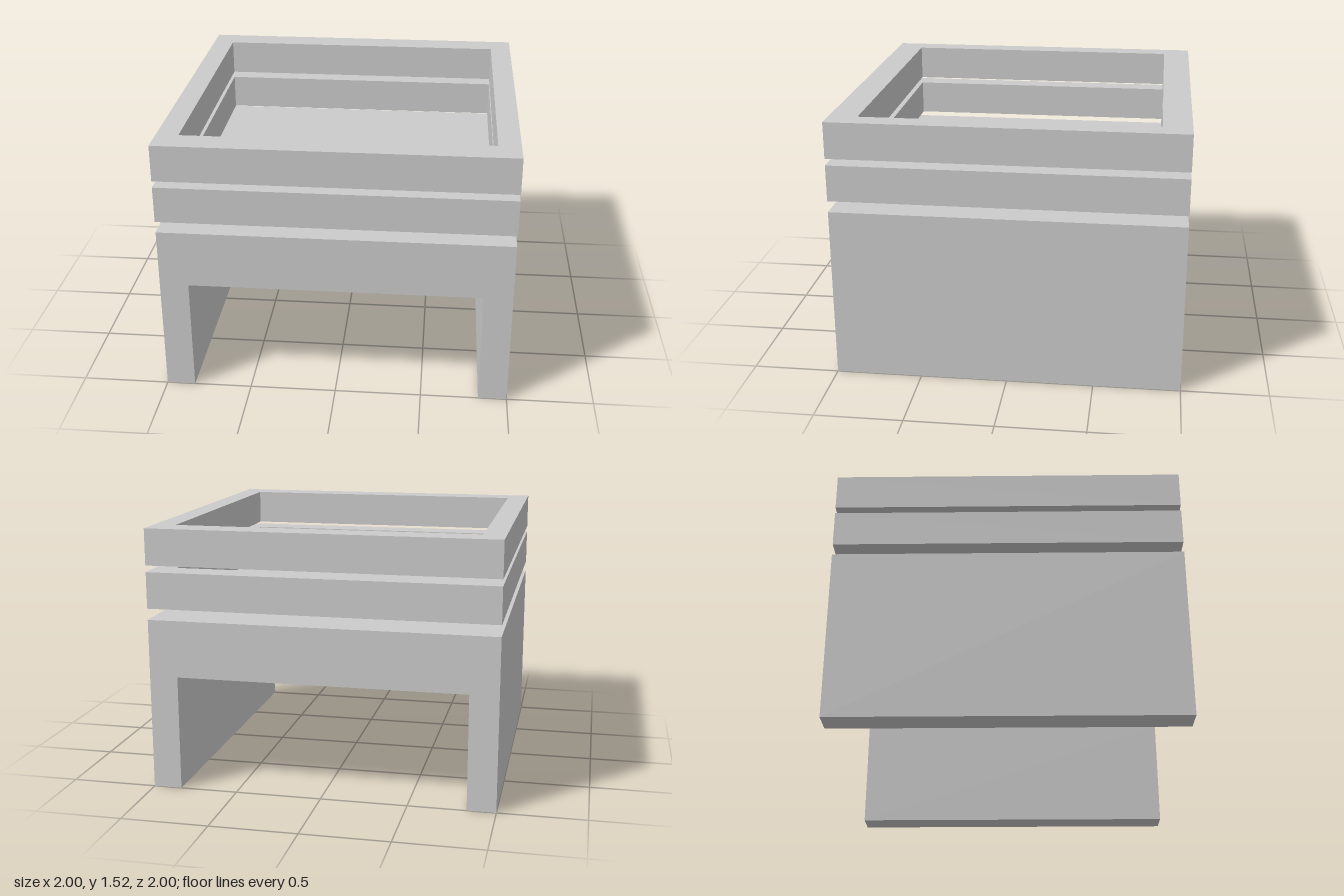
import * as THREE from 'three';

const material = new THREE.MeshStandardMaterial({ color: 0xcccccc, flatShading: true });

// Clockwise-independent rectangle outline, centred on x = 0
function rectangle(target, halfWidth, halfDepth) {
  target.moveTo(-halfWidth, -halfDepth);
  target.lineTo(halfWidth, -halfDepth);
  target.lineTo(halfWidth, halfDepth);
  target.lineTo(-halfWidth, halfDepth);
  target.closePath();
  return target;
}

function addMesh(group, geometry, name) {
  const mesh = new THREE.Mesh(geometry, material);
  mesh.name = name;
  group.add(mesh);
}

export function createModel() {
  const group = new THREE.Group();
  group.name = 'tieredStand';

  // Base: an upside-down U, open at front and back
  const arch = new THREE.Shape();
  [[-1, 0], [-0.835, 0], [-0.835, 0.67], [0.835, 0.67], [0.835, 0], [1, 0], [1, 1], [-1, 1]]
    .forEach(([x, y], i) => (i ? arch.lineTo(x, y) : arch.moveTo(x, y)));
  arch.closePath();
  const base = new THREE.ExtrudeGeometry(arch, { depth: 2, bevelEnabled: false });
  base.translate(0, 0, -1);
  addMesh(group, base, 'archedBase');

  // Two equal square frames floating above the base
  const frame = rectangle(new THREE.Shape(), 1, 1);
  frame.holes.push(rectangle(new THREE.Path(), 0.873, 0.837));
  for (const [name, bottom, top] of [['lowerFrame', 1.065, 1.275], ['upperFrame', 1.313, 1.523]]) {
    const geometry = new THREE.ExtrudeGeometry(frame, { depth: top - bottom, bevelEnabled: false });
    geometry.rotateX(-Math.PI / 2);
    geometry.translate(0, bottom, 0);
    addMesh(group, geometry, name);
  }

  return group;
}
